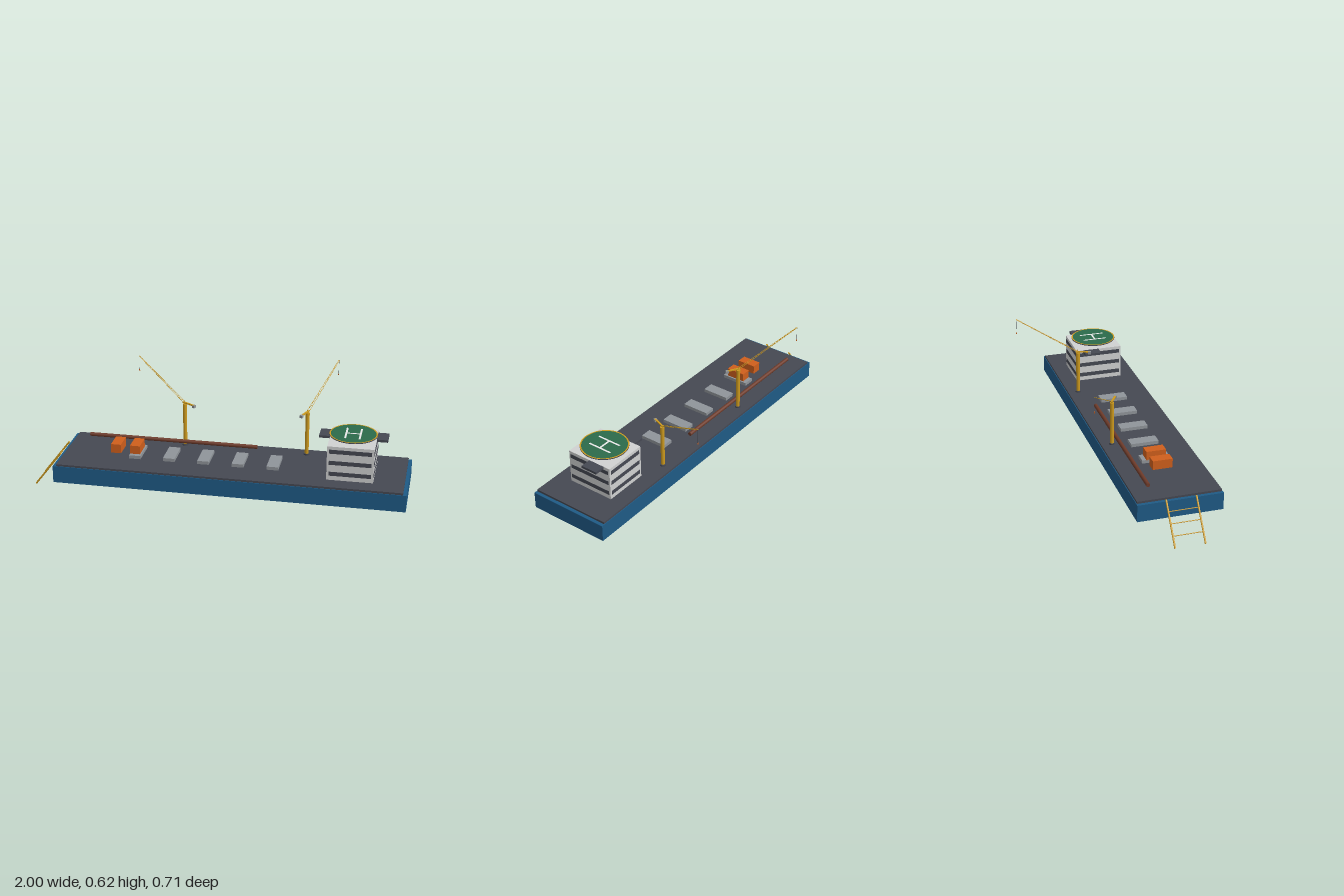
import * as THREE from 'three';

const mat = (name, color, extra = {}) => {
  const m = new THREE.MeshStandardMaterial({ color, ...extra });
  m.name = name;
  return m;
};

export function createModel() {
  const M = {
    hull: mat('hull blue', 0x1f5a85),
    deck: mat('deck grey', 0x454852),
    wall: mat('wall white', 0xd0d1d1),
    yellow: mat('crane yellow', 0xcd9a1e),
    hatch: mat('hatch grey', 0x8f9499),
    orange: mat('container orange', 0xcf5f1c),
    pipe: mat('pipe brown', 0x6e3b2a),
    green: mat('helideck green', 0x2c6b4a),
    white: mat('marking white', 0xf0f0f0),
  };
  const root = new THREE.Group();
  root.name = 'pipelayBarge';

  const add = (parent, name, geo, material) => {
    const m = new THREE.Mesh(geo, material);
    m.name = name;
    parent.add(m);
    return m;
  };
  // Box given by its lower and upper limits on each axis
  const box = (parent, name, material, [x0, x1], [y0, y1], [z0, z1]) => {
    const m = add(parent, name, new THREE.BoxGeometry(x1 - x0, y1 - y0, z1 - z0), material);
    m.position.set((x0 + x1) / 2, (y0 + y1) / 2, (z0 + z1) / 2);
    return m;
  };
  const cyl = (parent, name, material, r, y0, y1, x = 0, z = 0, n = 16) => {
    const m = add(parent, name, new THREE.CylinderGeometry(r, r, y1 - y0, n), material);
    m.position.set(x, (y0 + y1) / 2, z);
    return m;
  };
  // Round bar between two points
  const bar = (parent, name, material, a, b, r, n = 6) => {
    const p = new THREE.Vector3(...a), q = new THREE.Vector3(...b);
    const m = add(parent, name, new THREE.CylinderGeometry(r, r, p.distanceTo(q), n), material);
    m.position.copy(p).add(q).multiplyScalar(0.5);
    m.quaternion.setFromUnitVectors(new THREE.Vector3(0, 1, 0), q.sub(p).normalize());
    return m;
  };

  // Hull and deck
  box(root, 'hull', M.hull, [-0.85, 1], [0.09, 0.182], [-0.093, 0.353]);
  box(root, 'deck', M.deck, [-0.832, 0.982], [0.182, 0.193], [-0.089, 0.349]);

  // Stinger ramp at the left end
  const stinger = new THREE.Group();
  stinger.name = 'stinger';
  root.add(stinger);
  const top = [-0.85, 0.193], foot = [-0.997, 0.003];
  for (const z of [0.053, 0.209])
    bar(stinger, 'stingerRail', M.yellow, [...top, z], [...foot, z], 0.0047, 8);
  for (const t of [0.25, 0.5, 0.75]) {
    const x = top[0] + (foot[0] - top[0]) * t, y = top[1] + (foot[1] - top[1]) * t;
    bar(stinger, 'stingerRung', M.yellow, [x, y, 0.053], [x, y, 0.209], 0.0025);
  }

  // Deck hatches, containers and the pipeline
  for (let i = 0; i < 5; i++) {
    const x = -0.443 + i * 0.1845;
    box(root, 'hatch', M.hatch, [x - 0.031, x + 0.031], [0.193, 0.211], [0.053, 0.203]);
  }
  for (const x of [-0.551, -0.447])
    box(root, 'container', M.orange, [x - 0.027, x + 0.027], [0.208, 0.257], [0.075, 0.18]);
  bar(root, 'pipeline', M.pipe, [-0.745, 0.224, -0.004], [0.18, 0.224, -0.004], 0.0105, 14);

  // Accommodation block with window bands on all sides
  const block = new THREE.Group();
  block.name = 'accommodation';
  root.add(block);
  box(block, 'house', M.wall, [0.583, 0.823], [0.193, 0.379], [0, 0.262]);
  for (const y of [0.228, 0.289, 0.351]) {
    const h = [y - 0.011, y + 0.011];
    for (const z of [0, 0.262])
      box(block, 'windowBand', M.deck, [0.594, 0.812], h, [z - 0.0015, z + 0.0015]);
    for (const x of [0.583, 0.823])
      box(block, 'windowBand', M.deck, [x - 0.0015, x + 0.0015], h, [0.009, 0.253]);
  }
  for (const [name, x0, x1] of [['rightBridgeWing', 0.525, 0.583], ['leftBridgeWing', 0.823, 0.881]])
    box(block, name, M.deck, [x0, x1], [0.366, 0.379], [0.037, 0.129]);

  // Helideck with struts and markings
  const heli = new THREE.Group();
  heli.name = 'helideck';
  heli.position.set(0.703, 0, 0.131);
  root.add(heli);
  cyl(heli, 'helideckPlate', M.deck, 0.124, 0.399, 0.403, 0, 0, 40);
  cyl(heli, 'helideckSurface', M.green, 0.119, 0.403, 0.4038, 0, 0, 40);
  const ring = add(heli, 'helideckEdge', new THREE.RingGeometry(0.117, 0.124, 40), M.yellow);
  ring.rotation.x = -Math.PI / 2;
  ring.position.y = 0.4042;
  for (const x of [-0.037, 0.037])
    box(heli, 'landingMark', M.white, [x - 0.005, x + 0.005], [0.4038, 0.4046], [-0.068, 0.068]);
  box(heli, 'landingMarkBar', M.white, [-0.032, 0.032], [0.4038, 0.4046], [-0.005, 0.005]);
  for (let i = 0; i < 4; i++) {
    const c = Math.cos(i * Math.PI / 2), s = Math.sin(i * Math.PI / 2);
    bar(heli, 'helideckStrut', M.deck, [c * 0.043, 0.379, s * 0.043], [c * 0.085, 0.4, s * 0.085], 0.0018);
  }
  box(heli, 'roofUnit', M.deck, [-0.01, 0.01], [0.379, 0.386], [0.034, 0.056]);

  // Lattice cranes; the boom points along local +x
  const crane = (name, x, dx, dz) => {
    const g = new THREE.Group();
    g.name = name;
    g.position.set(x, 0, -0.031);
    g.rotation.y = Math.atan2(-dz, dx);
    root.add(g);
    cyl(g, 'craneBase', M.deck, 0.0165, 0.193, 0.2);
    cyl(g, 'pedestal', M.yellow, 0.0105, 0.2, 0.417);
    cyl(g, 'slewingHead', M.yellow, 0.0112, 0.417, 0.432);
    bar(g, 'mastPeak', M.yellow, [0, 0.432, 0], [0, 0.452, 0], 0.001);
    box(g, 'counterJib', M.yellow, [-0.07, 0.012], [0.436, 0.442], [-0.005, 0.005]);
    box(g, 'counterweight', M.hatch, [-0.074, -0.058], [0.428, 0.442], [-0.0075, 0.0075]);
    // Two tapering chords with zigzag bracing
    const at = (t, side) => [0.343 * t, 0.438 + 0.183 * t, side * (0.0065 - 0.004 * t)];
    for (const side of [-1, 1])
      bar(g, 'boomChord', M.yellow, at(0, side), at(1, side), 0.0013);
    const n = 22;
    for (let i = 0; i < n; i++) {
      const side = i % 2 ? 1 : -1;
      bar(g, 'boomBrace', M.yellow, at(i / n, side), at((i + 1) / n, -side), 0.0008, 4);
    }
    bar(g, 'hoistCable', M.deck, [0.343, 0.621, 0], [0.343, 0.542, 0], 0.0007, 4);
    box(g, 'hookBlock', M.orange, [0.341, 0.345], [0.535, 0.543], [-0.002, 0.002]);
  };
  crane('rightCrane', -0.22, -0.293, -0.178);
  crane('leftCrane', 0.443, 0.124, -0.32);

  return root;
}
